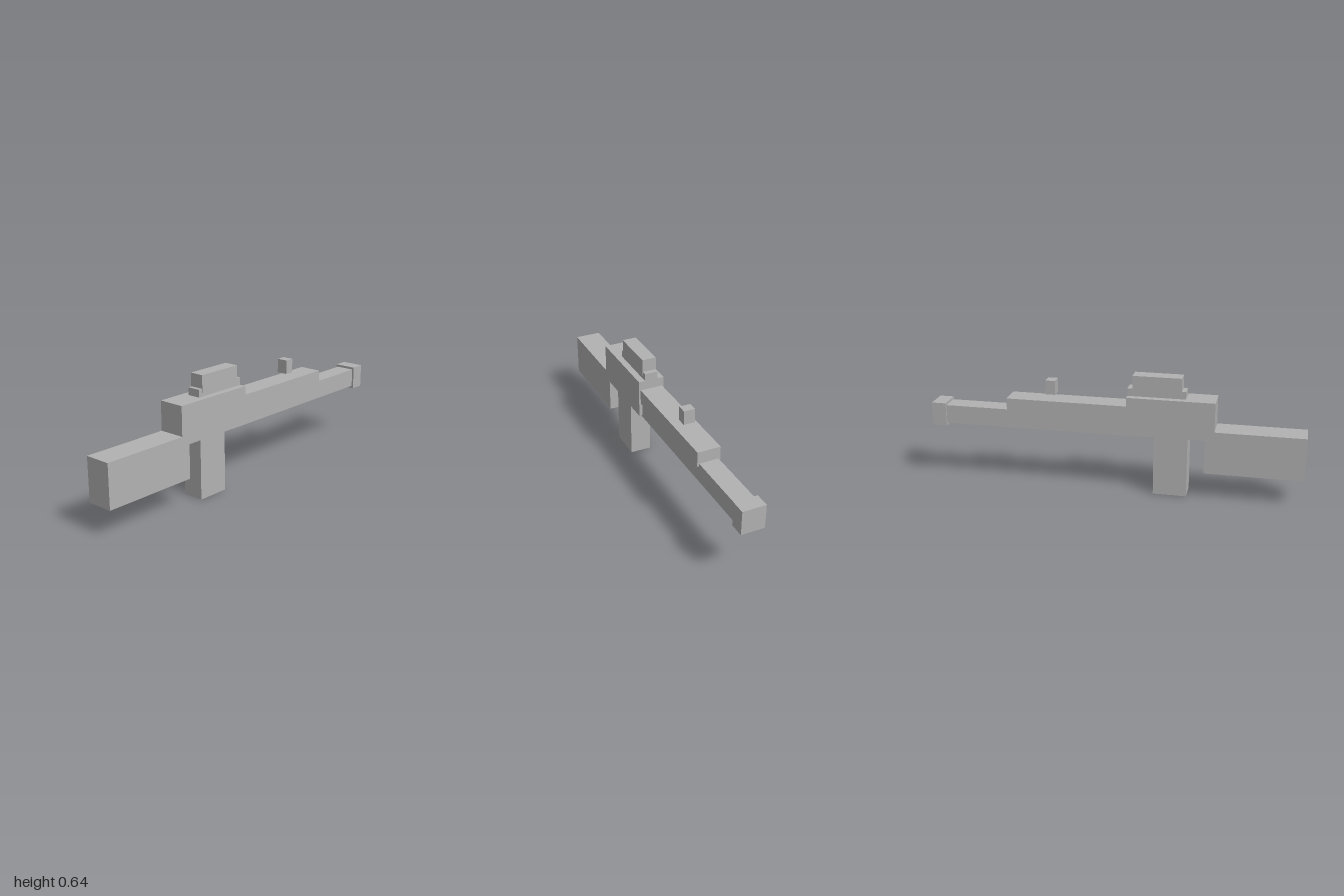
import * as THREE from 'three';

export function createModel() {
  const model = new THREE.Group();
  const grey = new THREE.MeshStandardMaterial({ color: 0xb2b2b2 });
  grey.name = 'plain grey';

  // Block centred on x = 0, given its half width and its y and z ranges
  function block(name, halfWidth, y0, y1, z0, z1) {
    const mesh = new THREE.Mesh(new THREE.BoxGeometry(halfWidth * 2, y1 - y0, z1 - z0), grey);
    mesh.name = name;
    mesh.position.set(0, (y0 + y1) / 2, (z0 + z1) / 2);
    model.add(mesh);
  }

  // Main body
  block('stock', 0.071, 0.145, 0.375, 0.485, 1);
  block('receiver', 0.071, 0.325, 0.53, 0.073, 0.533);
  block('grip', 0.058, 0, 0.33, 0.218, 0.395);

  // Barrel assembly
  block('barrel', 0.052, 0.314, 0.415, -0.93, 0.15);
  block('handguard', 0.062, 0.4, 0.48, -0.575, 0.08);
  block('muzzle', 0.062, 0.3, 0.428, -1, -0.922);

  // Sights
  block('sightRail', 0.036, 0.525, 0.57, 0.073, 0.378);
  block('rearSight', 0.0385, 0.55, 0.64, 0.1, 0.356);
  block('frontSight', 0.03, 0.507, 0.583, -0.367, -0.315);

  return model;
}
